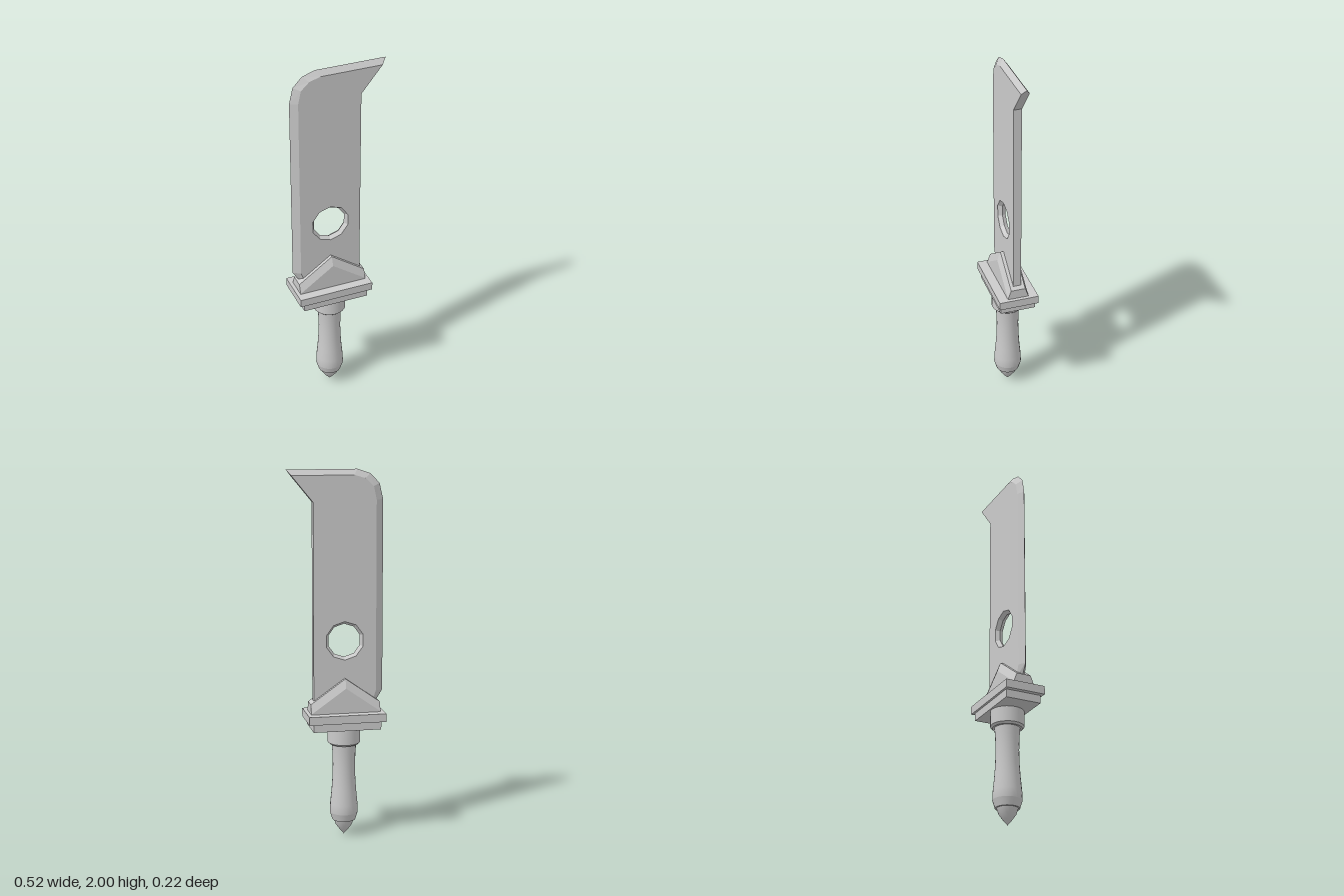
import * as THREE from 'three';

const AXIS = -0.05; // x of the handle axis
const smooth = new THREE.MeshStandardMaterial({ color: 0xcccccc });
const flat = new THREE.MeshStandardMaterial({ color: 0xcccccc, flatShading: true });

// Walls joining matching [x, y] loops stacked from front to back
// (counter-clockwise loops face outwards, clockwise ones inwards).
function walls(out, loops, depths) {
  for (let k = 0; k < loops.length - 1; k++) {
    const a = loops[k], b = loops[k + 1];
    for (let i = 0; i < a.length; i++) {
      const j = (i + 1) % a.length;
      const ai = [...a[i], depths[k]], aj = [...a[j], depths[k]];
      const bi = [...b[i], depths[k + 1]], bj = [...b[j], depths[k + 1]];
      out.push(...ai, ...bi, ...bj, ...ai, ...bj, ...aj);
    }
  }
}

// Solid made of stacked outlines, with an optional stacked hole, capped front and back
function stackedSolid(depths, loops, holeLoops) {
  const out = [];
  walls(out, loops, depths);
  if (holeLoops) walls(out, holeLoops, depths);
  for (const k of [0, loops.length - 1]) {
    const contour = loops[k].map(p => new THREE.Vector2(...p));
    const holes = holeLoops ? [holeLoops[k].map(p => new THREE.Vector2(...p))] : [];
    const pts = [contour, ...holes].flat();
    for (const tri of THREE.ShapeUtils.triangulateShape(contour, holes)) {
      const order = k === 0 ? tri : [...tri].reverse();
      for (const i of order) out.push(pts[i].x, pts[i].y, depths[k]);
    }
  }
  const g = new THREE.BufferGeometry();
  g.setAttribute('position', new THREE.Float32BufferAttribute(out, 3));
  g.computeVertexNormals();
  return g;
}

function add(group, name, geometry, material, x = 0, y = 0) {
  const mesh = new THREE.Mesh(geometry, material);
  mesh.name = name;
  mesh.position.set(x, y, 0);
  group.add(mesh);
}

// Clockwise ten-sided ring for the hole
const ring = r => Array.from({ length: 10 }, (_, i) => {
  const a = Math.PI / 2 - i * Math.PI / 5;
  return [AXIS + r * Math.cos(a), 1.09 + r * Math.sin(a)];
});

export function createModel() {
  const model = new THREE.Group();
  model.name = 'sword';

  // Blade: sharpened along the top and the left edge, flat along the right
  const edge = [[0.12, 0.69], [0.12, 1.83], [0.26, 2], [-0.12, 2], [-0.19, 1.977],
    [-0.24, 1.925], [-0.26, 1.84], [-0.262, 0.81], [-0.225, 0.75], [-0.225, 0.69]];
  const face = [[0.12, 0.69], [0.12, 1.83], [0.235, 1.97], [-0.1, 1.97], [-0.16, 1.952],
    [-0.205, 1.91], [-0.22, 1.84], [-0.222, 0.81], [-0.2, 0.75], [-0.2, 0.69]];
  add(model, 'blade', stackedSolid([0.022, 0, -0.022], [face, edge, face],
    [ring(0.105), ring(0.09), ring(0.105)]), flat);

  // Gabled socket with bevelled roof edges
  const gable = drop => [[-0.24, 0.69], [0.14, 0.69], [0.14, 0.752 - drop],
    [AXIS, 0.886 - drop], [-0.24, 0.752 - drop]];
  add(model, 'bladeSocket', stackedSolid([0.058, 0.04, -0.04, -0.058],
    [gable(0.05), gable(0), gable(0), gable(0.05)]), flat);

  // Guard: two stacked plates
  add(model, 'guardUpperPlate', new THREE.BoxGeometry(0.42, 0.045, 0.22), flat, AXIS, 0.677);
  add(model, 'guardLowerPlate', new THREE.BoxGeometry(0.37, 0.045, 0.196), flat, AXIS, 0.634);

  // Collar with a small chamfer underneath
  add(model, 'collarBand', new THREE.CylinderGeometry(0.089, 0.089, 0.088, 24), smooth, AXIS, 0.573);
  add(model, 'collarChamfer', new THREE.CylinderGeometry(0.089, 0.078, 0.01, 24), smooth, AXIS, 0.524);

  // Grip swelling towards the bottom
  const grip = [[0.07, 0.128], [0.077, 0.13], [0.075, 0.18], [0.068, 0.25], [0.063, 0.32],
    [0.061, 0.4], [0.063, 0.47], [0.068, 0.53]].map(p => new THREE.Vector2(...p));
  add(model, 'grip', new THREE.LatheGeometry(grip, 24), smooth, AXIS);

  // Pommel: a tapered ring above a pointed tip
  add(model, 'pommelRing', new THREE.CylinderGeometry(0.077, 0.064, 0.042, 24), smooth, AXIS, 0.109);
  const tip = [[0, 0], [0.025, 0.03], [0.045, 0.058], [0.056, 0.09]].map(p => new THREE.Vector2(...p));
  add(model, 'pommelTip', new THREE.LatheGeometry(tip, 24), smooth, AXIS);

  return model;
}
